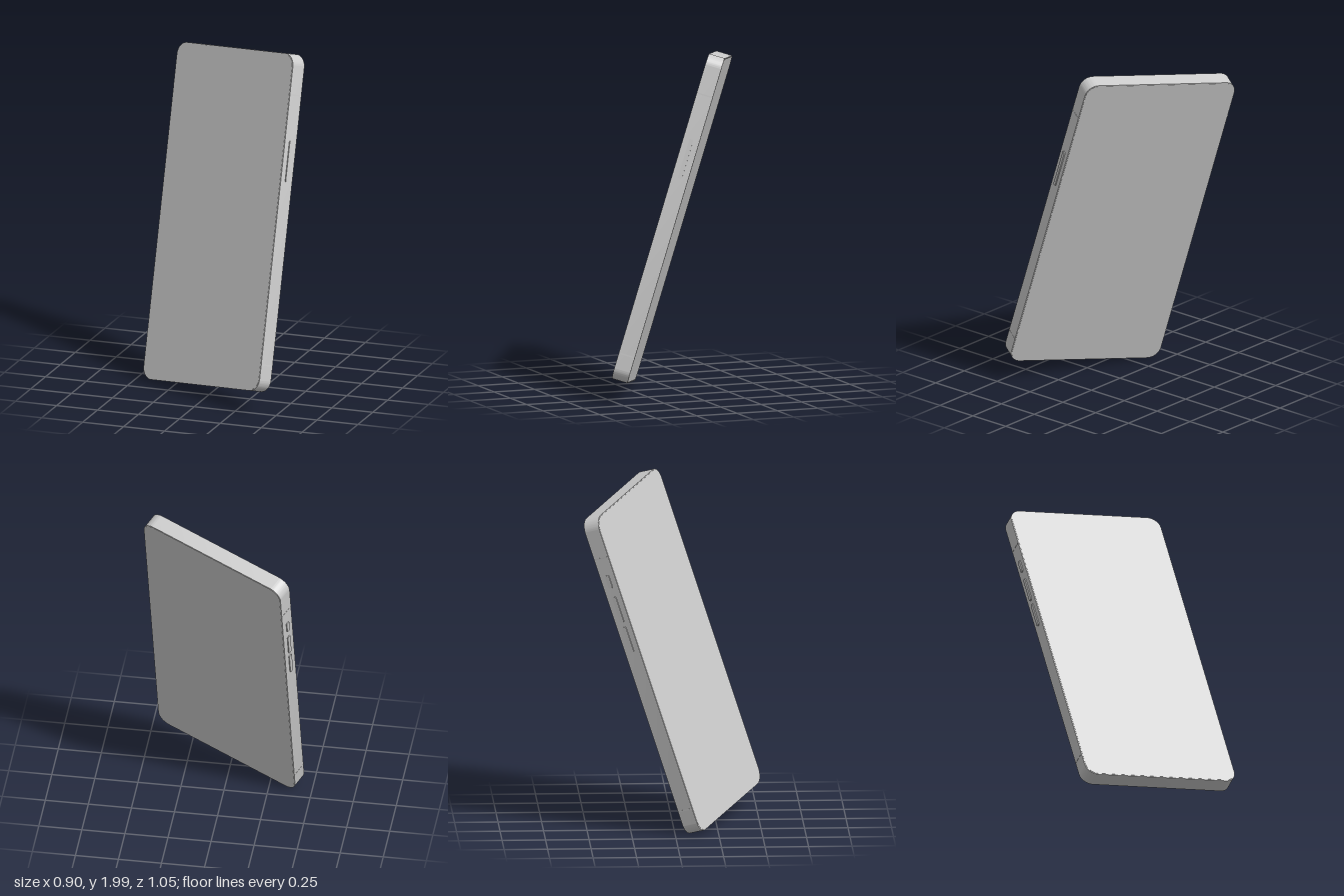
import * as THREE from 'three';
import { toCreasedNormals } from 'three/addons/utils/BufferGeometryUtils.js';

const W = 0.949, H = 1.948, T = 0.096, R = 0.072, LIP = 0.0015;
const material = new THREE.MeshStandardMaterial({ color: 0xcccccc });

// Rounded rectangle extruded along z, centred on the origin
function roundedSlab(w, h, depth, r) {
  const x = w / 2, y = h / 2, s = new THREE.Shape();
  s.absarc(x - r, y - r, r, 0, Math.PI / 2);
  s.absarc(-x + r, y - r, r, Math.PI / 2, Math.PI);
  s.absarc(-x + r, -y + r, r, Math.PI, Math.PI * 1.5);
  s.absarc(x - r, -y + r, r, Math.PI * 1.5, Math.PI * 2);
  s.closePath();
  const g = new THREE.ExtrudeGeometry(s, { depth, bevelEnabled: false, curveSegments: 16 });
  g.translate(0, 0, -depth / 2);
  return toCreasedNormals(g, 0.5);
}

export function createModel() {
  const model = new THREE.Group();
  const phone = new THREE.Group();
  phone.name = 'phone';
  model.add(phone);

  const add = (name, geometry, x = 0, y = 0, z = 0) => {
    const mesh = new THREE.Mesh(geometry, material);
    mesh.name = name;
    mesh.position.set(x, y, z);
    phone.add(mesh);
    return mesh;
  };

  // Frame and the two thin glass panels
  const inset = 0.01;
  add('frame', roundedSlab(W, H, T - 2 * LIP, R));
  for (const [name, side] of [['screen', 1], ['backPanel', -1]]) {
    add(name, roundedSlab(W - inset, H - inset, LIP * 2, R - inset / 2), 0, 0, side * (T / 2 - LIP));
  }

  // Slim pill-shaped buttons on the long edges: name, side, height, length
  const buttons = [
    ['powerButton', 1, 0.358, 0.235],
    ['muteSwitch', -1, 0.596, 0.078],
    ['volumeUpButton', -1, 0.423, 0.155],
    ['volumeDownButton', -1, 0.238, 0.155],
  ];
  for (const [name, side, y, length] of buttons) {
    const button = add(name, roundedSlab(0.024, length, 0.012, 0.007), side * W / 2, y, 0);
    button.rotation.y = side * Math.PI / 2;
  }

  // Antenna bands across the long edges
  for (const side of [-1, 1]) {
    for (const y of [0.74, -0.82]) {
      add('antennaBand', new THREE.BoxGeometry(0.002, 0.008, T - 2 * LIP), side * W / 2, y, 0);
    }
  }

  // Leaning back and turned to one side
  phone.rotation.set(THREE.MathUtils.degToRad(-18), THREE.MathUtils.degToRad(-26), 0);
  phone.position.y = 1;
  return model;
}
